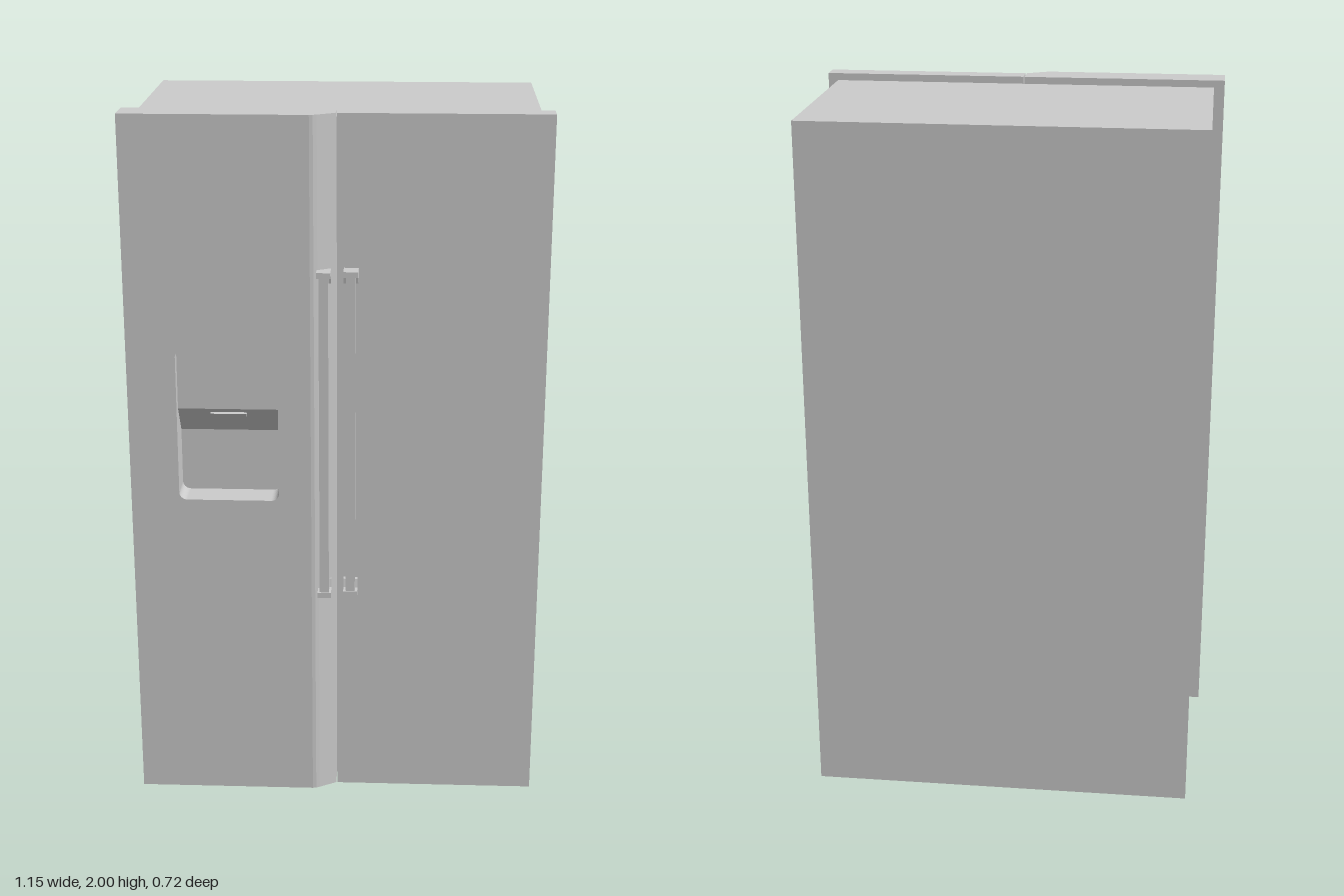
import * as THREE from 'three';

const grey = new THREE.MeshStandardMaterial({ color: 0xcccccc });

function add(parent, name, geometry) {
  const mesh = new THREE.Mesh(geometry, grey);
  mesh.name = name;
  parent.add(mesh);
  return mesh;
}

// Box given by its minimum and maximum corners
function box(x0, x1, y0, y1, z0, z1) {
  return new THREE.BoxGeometry(x1 - x0, y1 - y0, z1 - z0)
    .translate((x0 + x1) / 2, (y0 + y1) / 2, (z0 + z1) / 2);
}

const shapeOf = (points) => new THREE.Shape(points.map(([a, b]) => new THREE.Vector2(a, b)));

// Side profile of [z, y] points, extruded from x0 to x1
function sideExtrude(points, x0, x1) {
  return new THREE.ExtrudeGeometry(shapeOf(points), { depth: x1 - x0, bevelEnabled: false })
    .rotateY(-Math.PI / 2).translate(x1, 0, 0);
}

// Plan profile of [x, z] points, extruded from y0 to y1
function planExtrude(points, y0, y1) {
  return new THREE.ExtrudeGeometry(shapeOf(points.map(([x, z]) => [x, -z])), { depth: y1 - y0, bevelEnabled: false })
    .rotateX(-Math.PI / 2).translate(0, y0, 0);
}

function roundedHole(x0, x1, y0, y1, r) {
  const p = new THREE.Path();
  p.absarc(x1 - r, y1 - r, r, 0, Math.PI / 2);
  p.absarc(x0 + r, y1 - r, r, Math.PI / 2, Math.PI);
  p.absarc(x0 + r, y0 + r, r, Math.PI, Math.PI * 1.5);
  p.absarc(x1 - r, y0 + r, r, Math.PI * 1.5, Math.PI * 2);
  p.closePath();
  return p;
}

function makeHandle(name, x0, x1, front) {
  const handle = new THREE.Group();
  handle.name = name;
  const mid = 1.11, half = 0.475, base = 0.298;
  const cx = (x0 + x1) / 2;
  add(handle, 'handleBar', box(cx - 0.013, cx + 0.013, mid - half + 0.012, mid + half - 0.012, front - 0.03, front - 0.004));
  // End brackets with a thicker foot at the door
  for (const s of [1, -1]) {
    const profile = [[base, half - 0.04], [base + 0.016, half - 0.04], [base + 0.021, half - 0.016],
      [front, half - 0.016], [front, half], [base, half]].map(([z, y]) => [z, mid + s * y]);
    add(handle, s > 0 ? 'upperBracket' : 'lowerBracket', sideExtrude(profile, x0, x1));
  }
  return handle;
}

export function createModel() {
  const model = new THREE.Group();
  model.name = 'refrigerator';

  add(model, 'cabinet', box(-0.545, 0.545, 0, 1.98, -0.36, 0.24));
  add(model, 'leftDoor', box(0.002, 0.573, 0, 2, 0.24, 0.30));

  // Right door: pierced slab plus a slanted inner edge
  const rightDoor = new THREE.Group();
  rightDoor.name = 'rightDoor';
  model.add(rightDoor);
  const slab = shapeOf([[-0.575, 0], [-0.07, 0], [-0.07, 2], [-0.575, 2]]);
  slab.holes.push(roundedHole(-0.44, -0.16, 0.92, 1.36, 0.022));
  add(rightDoor, 'doorSlab', new THREE.ExtrudeGeometry(slab, { depth: 0.095, bevelEnabled: false, curveSegments: 6 })
    .translate(0, 0, 0.24));
  add(rightDoor, 'slantedEdge', planExtrude(
    [[-0.07, 0.24], [-0.07, 0.335], [-0.06, 0.333], [-0.05, 0.328], [-0.002, 0.30], [-0.002, 0.24]], 0, 2));

  // Dispenser: control panel above, slanted hood, deep niche below
  const dispenser = new THREE.Group();
  dispenser.name = 'dispenser';
  model.add(dispenser);
  add(dispenser, 'dispenserInsert', sideExtrude(
    [[0.235, 0.91], [0.25, 0.91], [0.25, 1.10], [0.305, 1.18], [0.305, 1.37], [0.235, 1.37]], -0.45, -0.15));
  const spout = add(dispenser, 'spout', new THREE.BoxGeometry(0.10, 0.02, 0.012));
  spout.position.set(-0.30, 1.16, 0.292);
  spout.rotation.x = Math.atan2(0.055, 0.08);

  model.add(makeHandle('rightDoorHandle', -0.052, -0.014, 0.36));
  model.add(makeHandle('leftDoorHandle', 0.02, 0.06, 0.347));
  return model;
}
